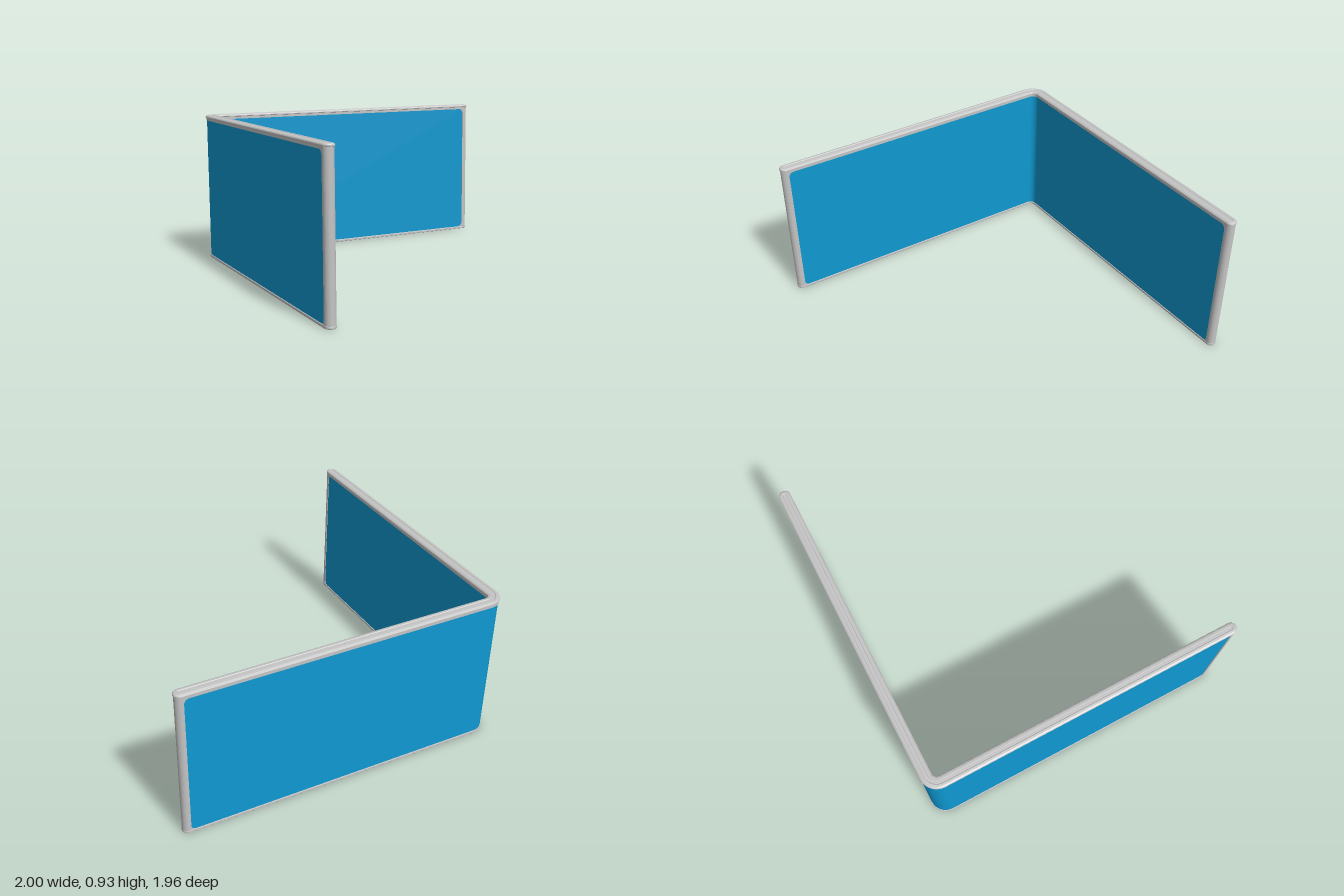
import * as THREE from 'three';

const X = 0.965, Z = 0.943, BEND = 0.07; // centre line ends and bend radius
const RAIL_BOTTOM = 0.897, SILL = 0.016, POST_RADIUS = 0.031;

// Centre-line stations of the L plan with outward normals, as a closed loop
function planLoop() {
  const loop = [];
  const arc = (cx, cz, r, from, to, side, steps) => {
    for (let i = 0; i <= steps; i++) {
      const a = from + (to - from) * i / steps, c = Math.cos(a), s = Math.sin(a);
      loop.push({ x: cx + r * c, z: cz + r * s, nx: side * c, nz: side * s });
    }
  };
  const H = Math.PI / 2;
  arc(-X + BEND, -Z + BEND, BEND, 2 * H, 3 * H, 1, 14);  // outside of bend
  arc(X, -Z, 0, -H, H, 1, 14);                           // right end
  arc(-X + BEND, -Z + BEND, BEND, 3 * H, 2 * H, -1, 14); // inside of bend
  arc(-X, Z, 0, 0, 2 * H, 1, 14);                        // front end
  return loop;
}

// Sweep a profile of [half width, height] around the plan, creased at each profile point
function sweep(profile) {
  const loop = planLoop(), n = loop.length, pos = [], nor = [], idx = [];
  for (let k = 0; k < profile.length - 1; k++) {
    const [w0, y0] = profile[k], [w1, y1] = profile[k + 1];
    const len = Math.hypot(w1 - w0, y1 - y0), nh = (y1 - y0) / len, ny = (w0 - w1) / len;
    const base = pos.length / 3;
    for (const p of loop) {
      for (const [w, y] of [[w0, y0], [w1, y1]]) {
        pos.push(p.x + p.nx * w, y, p.z + p.nz * w);
        nor.push(p.nx * nh, ny, p.nz * nh);
      }
    }
    for (let i = 0; i < n; i++) {
      const a = base + 2 * i, b = base + 2 * ((i + 1) % n);
      idx.push(a, a + 1, b, b, a + 1, b + 1);
    }
  }
  const g = new THREE.BufferGeometry();
  g.setAttribute('position', new THREE.Float32BufferAttribute(pos, 3));
  g.setAttribute('normal', new THREE.Float32BufferAttribute(nor, 3));
  g.setIndex(idx);
  return g;
}

function mesh(name, geometry, material) {
  const m = new THREE.Mesh(geometry, material);
  m.name = name;
  return m;
}

// End post with a rounded outer edge and curved gussets in its inner corners
function endPost(material) {
  const group = new THREE.Group();
  group.name = 'endPost';
  const inner = -0.011, r = POST_RADIUS;
  const plan = new THREE.Shape();
  plan.moveTo(inner, -r);
  plan.lineTo(0, -r);
  plan.absarc(0, 0, r, -Math.PI / 2, Math.PI / 2, false);
  plan.lineTo(inner, r);
  plan.closePath();
  const post = new THREE.ExtrudeGeometry(plan, { depth: RAIL_BOTTOM + 0.005, bevelEnabled: false, curveSegments: 16 });
  post.rotateX(-Math.PI / 2);
  group.add(mesh('post', post, material));

  const f = 0.032;
  for (const [y, s] of [[SILL, 1], [RAIL_BOTTOM, -1]]) {
    const corner = new THREE.Shape();
    corner.moveTo(inner, y);
    corner.lineTo(inner - f, y);
    for (let i = 1; i <= 8; i++) {
      const a = i / 8 * Math.PI / 2;
      corner.lineTo(inner - f + f * Math.sin(a), y + s * f * (1 - Math.cos(a)));
    }
    const g = new THREE.ExtrudeGeometry(corner, { depth: 2 * r - 0.001, bevelEnabled: false });
    g.translate(0, 0, -r + 0.0005);
    group.add(mesh('cornerGusset', g, material));
  }
  return group;
}

export function createModel() {
  const metal = new THREE.MeshStandardMaterial({ color: 0xc4c4c4 });
  metal.name = 'light grey metal';
  const blue = new THREE.MeshStandardMaterial({ color: 0x0f99d1 });
  blue.name = 'blue panel';
  const dark = new THREE.MeshStandardMaterial({ color: 0x2c452c });
  dark.name = 'dark green channel';

  const model = new THREE.Group();
  model.name = 'cornerPartition';

  // Blue infill running round the bend
  model.add(mesh('panel', sweep([[0.0275, 0.01], [0.0275, 0.905]]), blue));

  // Bottom rail with a channel in its underside
  model.add(mesh('bottomRail', sweep([
    [0.016, 0.006], [0.016, 0], [0.031, 0], [0.0325, 0.002],
    [0.0325, 0.013], [0.031, SILL], [0.02, SILL],
  ]), metal));
  model.add(mesh('undersideChannel', sweep([[0, 0.004], [0.0165, 0.004]]), dark));

  // Top rail with a projecting lip and a shallow groove along the crown
  model.add(mesh('topRail', sweep([
    [0, RAIL_BOTTOM], [0.0315, RAIL_BOTTOM], [0.0315, 0.912], [0.035, 0.914],
    [0.035, 0.92], [0.032, 0.925], [0.024, 0.929], [0.012, 0.93],
    [0.009, 0.927], [0, 0.927],
  ]), metal));

  // Posts at the two free ends
  const right = endPost(metal);
  right.position.set(X, 0, -Z);
  const front = endPost(metal);
  front.position.set(-X, 0, Z);
  front.rotation.y = -Math.PI / 2;
  model.add(right, front);
  return model;
}
